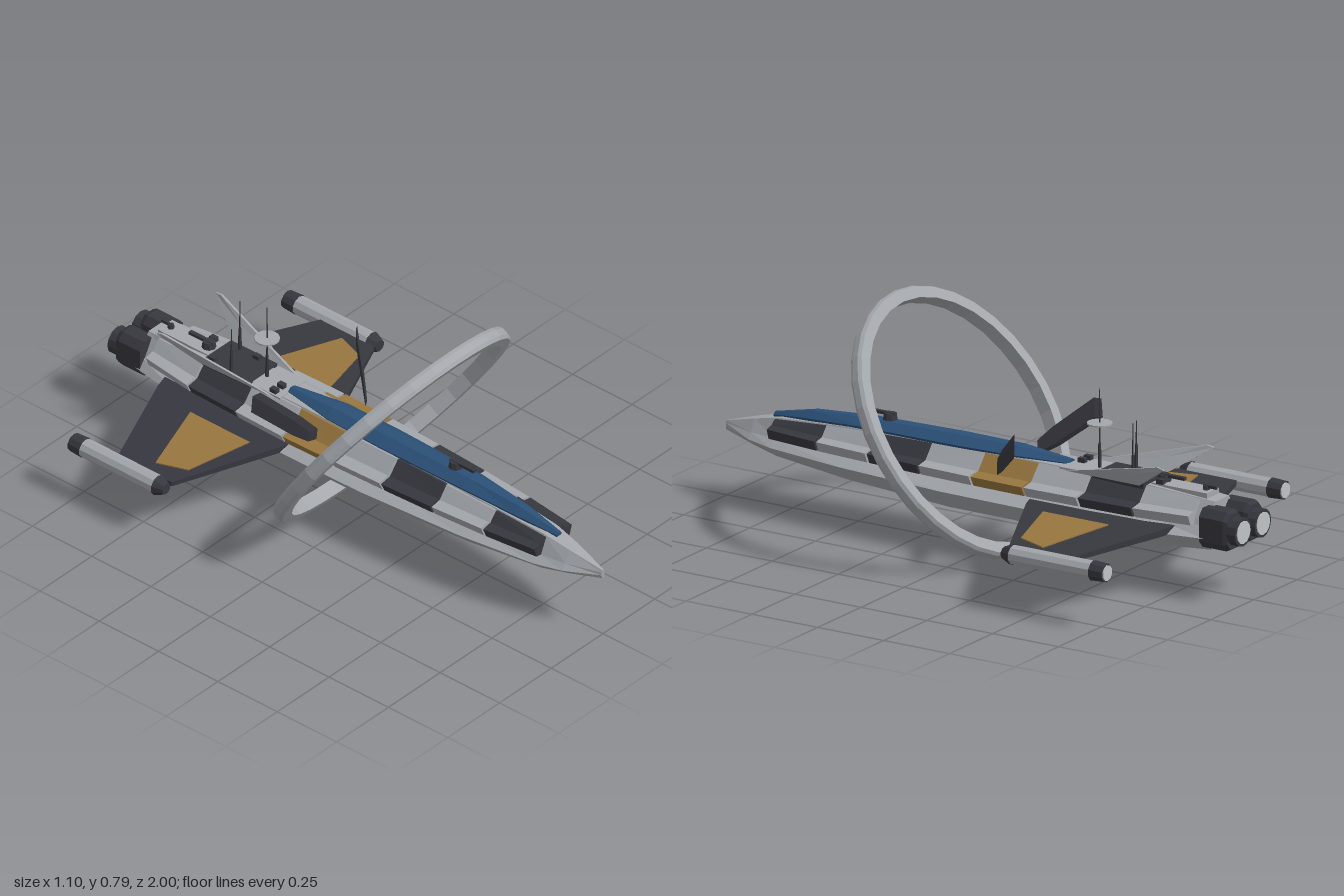
import * as THREE from 'three';

const mat = (name, color) => {
  const m = new THREE.MeshStandardMaterial({ color });
  m.name = name;
  return m;
};
const light = mat('lightGrey', 0xa3a7ac);
const dark = mat('charcoal', 0x37373f);
const blue = mat('blue', 0x2b5077);
const gold = mat('gold', 0x98763f);
const pale = mat('paleGlow', 0xc0c3c5);

// Faceted normals for every part
function addMesh(group, name, geometry, material) {
  const g = geometry.index ? geometry.toNonIndexed() : geometry;
  g.computeVertexNormals();
  const mesh = new THREE.Mesh(g, material);
  mesh.name = name;
  group.add(mesh);
  return mesh;
}

// Closed solid through rings of [x, y, z] points, always wound outward
function loft(rings) {
  const n = rings[0].length, pts = rings.flat().map(p => new THREE.Vector3(...p)), tris = [];
  for (let i = 0; i < rings.length - 1; i++) {
    for (let j = 0; j < n; j++) {
      const a = i * n + j, b = i * n + (j + 1) % n;
      tris.push([a, b, a + n], [b, b + n, a + n]);
    }
  }
  const cap = (start, flip) => {
    const c = new THREE.Vector3();
    for (let j = 0; j < n; j++) c.addScaledVector(pts[start + j], 1 / n);
    const k = pts.push(c) - 1;
    for (let j = 0; j < n; j++) {
      const a = start + j, b = start + (j + 1) % n;
      tris.push(flip ? [k, b, a] : [k, a, b]);
    }
  };
  cap(0, true);
  cap((rings.length - 1) * n, false);
  const mid = pts[pts.length - 1].clone().add(pts[pts.length - 2]).multiplyScalar(0.5);
  const local = pts.map(p => p.clone().sub(mid));
  let volume = 0;
  for (const [a, b, c] of tris) volume += local[a].dot(local[b].clone().cross(local[c]));
  const order = volume < 0 ? tris.map(t => [t[0], t[2], t[1]]) : tris;
  return new THREE.BufferGeometry().setFromPoints(order.flat().map(i => pts[i]));
}

// Hull stations: z, bottom x/y, chine x/y, neck x/y, top x/y, panel half width
const stations = [
  [1.0, 0.004, 0.228, 0.007, 0.24, 0.006, 0.25, 0.003, 0.258, 0.01],
  [0.88, 0.03, 0.205, 0.06, 0.23, 0.045, 0.25, 0.022, 0.29, 0.06],
  [0.78, 0.046, 0.188, 0.085, 0.225, 0.06, 0.25, 0.032, 0.312, 0.094],
  [0.5, 0.066, 0.165, 0.119, 0.22, 0.08, 0.25, 0.045, 0.333, 0.125],
  [0.1, 0.082, 0.147, 0.143, 0.215, 0.085, 0.25, 0.05, 0.342, 0.147],
  [-0.2, 0.084, 0.147, 0.148, 0.215, 0.088, 0.252, 0.05, 0.345, 0.154],
  [-0.45, 0.082, 0.15, 0.148, 0.215, 0.088, 0.252, 0.05, 0.345, 0.148],
  [-0.65, 0.078, 0.156, 0.138, 0.215, 0.085, 0.252, 0.048, 0.34, 0.142],
  [-0.88, 0.06, 0.17, 0.105, 0.218, 0.08, 0.252, 0.04, 0.325, 0.108],
];
function station(z) {
  const i = Math.max(0, stations.findIndex((s, k) => k < stations.length - 1 && z <= s[0] && z >= stations[k + 1][0]));
  const a = stations[i], b = stations[i + 1], t = (z - a[0]) / (b[0] - a[0]);
  return a.map((v, k) => v + (b[k] - v) * t);
}

const box = (w, h, d, x, y, z) => new THREE.BoxGeometry(w, h, d).translate(x, y, z);
const rod = (r1, r2, len, sides, x, y, z) => new THREE.CylinderGeometry(r1, r2, len, sides).translate(x, y, z);
// Cylinder along z, first radius at the front
const tubeZ = (rFront, rBack, z0, z1, x, y, sides = 10) =>
  new THREE.CylinderGeometry(rFront, rBack, z1 - z0, sides).rotateX(Math.PI / 2).translate(x, y, (z0 + z1) / 2);

export function createModel() {
  const ship = new THREE.Group();
  ship.name = 'spaceship';

  // Hull
  addMesh(ship, 'hull', loft(stations.map(([z, bx, by, cx, cy, nx, ny, tx, ty]) => {
    const half = [[bx, by], [cx, cy], [nx, ny], [tx, ty]];
    return [...half.map(([x, y]) => [x, y, z]), ...half.reverse().map(([x, y]) => [-x, y, z])];
  })), light);

  // Flared side panels
  const panelColors = [dark, light, dark, light, gold, light, dark, light];
  panelColors.forEach((material, i) => {
    const front = 0.79 - i * 0.203, back = front - 0.195;
    for (const s of [1, -1]) {
      const ring = z => {
        const p = station(z), w = p[9], y = p[8];
        return [[p[5] * 0.9, 0.25], [w * 0.88, 0.253], [w, 0.287], [w * 0.7, 0.294], [p[7] + 0.012, y], [p[7] * 0.6, y - 0.01]]
          .map(([x, py]) => [s * x, py, z]);
      };
      addMesh(ship, 'sidePanel', loft([ring(back), ring(front)]), material);
    }
  });

  // Long blue canopy spine: z, half width, shoulder y, top y
  const spine = [[0.815, 0.012, 0.312, 0.32], [0.66, 0.034, 0.33, 0.352], [0.45, 0.05, 0.343, 0.366],
    [0.1, 0.057, 0.347, 0.372], [-0.12, 0.053, 0.35, 0.371], [-0.31, 0.02, 0.348, 0.357]];
  addMesh(ship, 'canopySpine', loft(spine.map(([z, w, y, t]) => [
    [w * 0.65, y - 0.035, z], [w, y, z], [w * 0.35, t, z],
    [-w * 0.35, t, z], [-w, y, z], [-w * 0.65, y - 0.035, z]])), blue);

  // Rear deck
  addMesh(ship, 'rearDeck', box(0.14, 0.02, 0.195, 0, 0.34, -0.53), dark);
  addMesh(ship, 'tailDeck', box(0.07, 0.018, 0.21, 0, 0.336, -0.74), light);
  addMesh(ship, 'foreDeck', box(0.13, 0.014, 0.12, 0, 0.341, -0.365), light);

  // Tilted ring
  const ringProfile = [[0.425, -0.024], [0.463, -0.024], [0.47, -0.012], [0.47, 0.012], [0.463, 0.024], [0.425, 0.024], [0.425, -0.024]];
  const ring = new THREE.LatheGeometry(ringProfile.map(p => new THREE.Vector2(...p)), 32);
  addMesh(ship, 'ring', ring.rotateX(-0.974).translate(0, 0.405, 0.11), light);

  for (const s of [1, -1]) {
    // Wing with inset gold plate
    const topY = x => 0.235 - (x - 0.15) * 0.076;
    const wingRing = (x, z0, z1, thick) => [[z0, 0], [z1, 0], [z1, -thick], [z0, -thick]].map(([z, dy]) => [s * x, topY(x) + dy, z]);
    addMesh(ship, 'wing', loft([wingRing(0.09, -0.215, -0.76, 0.024), wingRing(0.149, -0.233, -0.745, 0.022),
      wingRing(0.49, -0.39, -0.615, 0.016)]), dark);
    const plate = dy => [[0.19, -0.573], [0.19, -0.324], [0.414, -0.387], [0.45, -0.493]].map(([x, z]) => [s * x, topY(x) + dy, z]);
    addMesh(ship, 'wingPlate', loft([plate(-0.003), plate(0.004)]), gold);

    // Wingtip pod
    const px = s * 0.516, py = 0.197;
    addMesh(ship, 'podBody', tubeZ(0.032, 0.032, -0.73, -0.425, px, py), light);
    addMesh(ship, 'podNose', tubeZ(0.02, 0.035, -0.425, -0.39, px, py), dark);
    addMesh(ship, 'podTail', tubeZ(0.034, 0.031, -0.78, -0.73, px, py), dark);
    addMesh(ship, 'podExhaust', tubeZ(0.026, 0.026, -0.784, -0.775, px, py), pale);

    // Canted tail fin
    const fin = d => [[0.065, 0.34, -0.33], [0.142, 0.44, -0.73], [0.145, 0.435, -0.755], [0.08, 0.345, -0.62]]
      .map(([x, y, z]) => [s * (x + d), y, z]);
    addMesh(ship, 'tailFin', loft([fin(-0.004), fin(0.004)]), light);

    // Angled radiator paddle
    const paddle = (x, y, z, h) => [[-0.013, h + 0.004], [0.01, h - 0.004], [0.014, -h], [-0.01, -h + 0.004]]
      .map(([dx, dy]) => [s * (x + dx), y + dy, z - dx * 0.6]);
    addMesh(ship, 'paddle', loft([paddle(0.128, 0.328, -0.11, 0.02), paddle(0.16, 0.362, -0.148, 0.03),
      paddle(0.243, 0.452, -0.25, 0.033)]), dark);

    // Engine
    const ex = s * 0.057, ey = 0.248;
    const engine = (z, k) => [[-0.042, -0.04], [-0.022, -0.065], [0.026, -0.065], [0.048, -0.04], [0.048, 0.04], [0.026, 0.065], [-0.022, 0.065], [-0.042, 0.04]]
      .map(([x, y]) => [ex + s * x * k, ey + y * k, z]);
    addMesh(ship, 'engineBlock', loft([engine(-0.86, 1), engine(-0.95, 1), engine(-0.965, 0.9)]), dark);
    addMesh(ship, 'engineNozzle', tubeZ(0.046, 0.048, -0.997, -0.95, ex, ey, 12), dark);
    addMesh(ship, 'engineExhaust', tubeZ(0.038, 0.038, -1, -0.99, ex, ey, 12), pale);
  }

  // Antenna masts: x, z, top
  for (const [x, z, top] of [[0, -0.415, 0.614], [-0.052, -0.52, 0.508], [0.052, -0.575, 0.536]]) {
    addMesh(ship, 'mast', rod(0.0015, 0.004, top - 0.34, 6, x, (top + 0.34) / 2, z), dark);
    addMesh(ship, 'mastBase', rod(0.005, 0.007, 0.09, 6, x, 0.385, z), dark);
  }
  addMesh(ship, 'dish', rod(0.041, 0.041, 0.005, 16, 0, 0.495, -0.415), light);

  // Small deck turrets: z, base y, size
  for (const [z, y, k] of [[0.38, 0.372, 1], [-0.66, 0.35, 1], [-0.82, 0.34, 0.5]]) {
    addMesh(ship, 'turretBase', rod(0.02 * k, 0.024 * k, 0.022, 8, 0, y + 0.008, z), dark);
    addMesh(ship, 'turretGun', box(0.014 * k, 0.01, 0.1 * k, 0, y + 0.016, z + (z > 0 ? 0.03 : -0.03 * k)), dark);
  }

  // Deck fittings
  for (const [x, z] of [[-0.05, -0.34], [-0.015, -0.34], [0.035, -0.67], [-0.05, -0.6], [0.05, -0.5]]) {
    addMesh(ship, 'deckFitting', box(0.018, 0.016, 0.025, x, 0.355, z), dark);
  }
  return ship;
}
